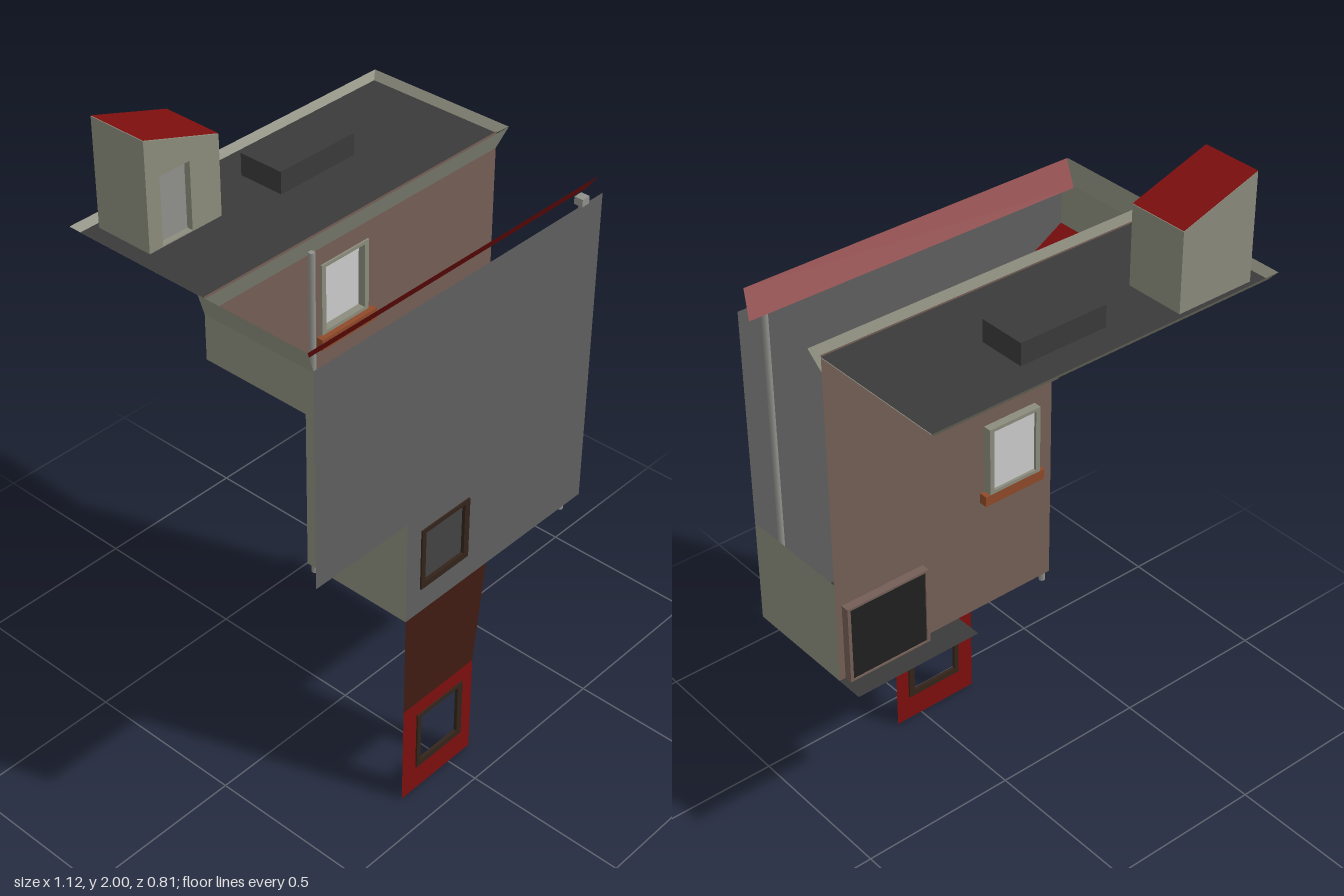
import * as THREE from 'three';

const COLORS = {
  olive: 0x8b8c7c, grey: 0x5f5f5f, dark: 0x3a3a3a, black: 0x202020, red: 0x7d0e0e,
  brown: 0x745f56, darkBrown: 0x3f1c12, frame: 0x33241a, sill: 0x8f4a2a, glass: 0xcccccc, door: 0x90908c,
};
const mats = {};
for (const key in COLORS) {
  mats[key] = new THREE.MeshStandardMaterial({ color: COLORS[key], side: THREE.DoubleSide });
}

const rect = (x0, y0, x1, y1) => [[x0, y0], [x1, y0], [x1, y1], [x0, y1]];
const vecs = (pts) => pts.map(([x, y]) => new THREE.Vector2(x, y));

function shapeOf(pts, holes = []) {
  const shape = new THREE.Shape(vecs(pts));
  holes.forEach((h) => shape.holes.push(new THREE.Path(vecs(h))));
  return shape;
}

export function createModel() {
  const model = new THREE.Group();
  model.name = 'openHouse';

  function add(name, geo, color, parent = model) {
    const mesh = new THREE.Mesh(geo, mats[color]);
    mesh.name = name;
    parent.add(mesh);
    return mesh;
  }
  // Box given by its min and max corners
  function box(name, color, [x0, y0, z0], [x1, y1, z1], parent) {
    const geo = new THREE.BoxGeometry(x1 - x0, y1 - y0, z1 - z0);
    geo.translate((x0 + x1) / 2, (y0 + y1) / 2, (z0 + z1) / 2);
    return add(name, geo, color, parent);
  }
  // Thin sheet facing +z
  function sheet(name, color, pts, z, holes, parent) {
    const geo = new THREE.ShapeGeometry(shapeOf(pts, holes));
    geo.translate(0, 0, z);
    return add(name, geo, color, parent);
  }
  // Solid outline from z0 to z1
  function slab(name, color, pts, z0, z1, holes, parent) {
    const geo = new THREE.ExtrudeGeometry(shapeOf(pts, holes), { depth: z1 - z0, bevelEnabled: false });
    geo.translate(0, 0, z0);
    return add(name, geo, color, parent);
  }
  // Flat four-cornered sheet, corners anticlockwise from its front
  function quad(name, color, ...corners) {
    const geo = new THREE.BufferGeometry();
    geo.setAttribute('position', new THREE.Float32BufferAttribute(corners.flat(), 3));
    geo.setIndex([0, 1, 2, 0, 2, 3]);
    geo.computeVertexNormals();
    return add(name, geo, color);
  }

  // Front panel and the hanging strip below it, each with a framed opening
  const opening = (y) => rect(-0.13, y + 0.02, 0.025, y + 0.185);
  const Z = 0.4;
  sheet('frontPanel', 'grey',
    [[-0.2, 0.66], [0.54, 0.66], [0.54, 1.645], [-0.54, 1.645], [-0.54, 0.99], [-0.2, 0.99]], Z, [opening(0.74)]);
  sheet('hangingUpperPanel', 'darkBrown', [[-0.2, 0.33], [0.09, 0.33], [0.13, 0.66], [-0.2, 0.66]], Z);
  sheet('hangingLowerPanel', 'red', rect(-0.2, 0, 0.09, 0.33), Z, [opening(0.085)]);
  for (const y of [0.74, 0.085]) {
    slab('openingFrame', 'frame', rect(-0.145, y, 0.045, y + 0.197), Z - 0.005, Z + 0.005, [opening(y)]);
  }

  // Main wall with window and door openings
  const WZ = 0.045;
  const windowBottoms = [1.05, 1.38];
  const windowHole = (y) => rect(-0.125, y + 0.01, 0.02, y + 0.2);
  sheet('mainWall', 'brown',
    [[-0.2, 0.66], [0.54, 0.66], [0.54, 1.69], [-0.54, 1.69], [-0.54, 1.51], [-0.2, 1.31]],
    WZ, windowBottoms.map(windowHole));
  for (const y of windowBottoms) {
    const win = new THREE.Group();
    win.name = 'wallWindow';
    model.add(win);
    slab('windowFrame', 'olive', rect(-0.14, y, 0.035, y + 0.21), 0.02, 0.05, [windowHole(y)], win);
    sheet('windowPane', 'glass', windowHole(y), 0.028, [], win);
    box('windowSill', 'sill', [-0.155, y - 0.032, 0.02], [0.05, y, 0.065], win);
  }

  // Rear door, doorstep and landing
  const doorHole = rect(0.26, 0.665, 0.51, 0.9);
  slab('doorFrame', 'brown', rect(0.25, 0.66, 0.52, 0.907), 0.02, 0.045, [doorHole]);
  sheet('rearDoor', 'black', doorHole, 0.024);
  sheet('rearDoorInside', 'black', doorHole, 0.05);
  box('doorstep', 'dark', [0.255, 0.645, 0.035], [0.415, 0.672, 0.065]);
  quad('landing', 'dark', [0.13, 0.66, 0.05], [0.54, 0.66, 0.05], [0.54, 0.66, -0.04], [0.13, 0.66, -0.04]);

  // Floor and side walls
  quad('floor', 'dark', [-0.2, 0.66, Z], [0.54, 0.66, Z], [0.54, 0.66, WZ], [-0.2, 0.66, WZ]);
  const sideWall = (name, color, xa, ya, xb, yb) =>
    quad(name, color, [xa, ya, WZ], [xa, ya, Z], [xb, yb, Z], [xb, yb, WZ]);
  sideWall('lowSideWall', 'olive', 0.54, 0.66, 0.54, 0.985);
  sideWall('sideWall', 'olive', -0.2, 0.66, -0.2, 1.31);
  sideWall('overhangSlope', 'red', -0.2, 1.31, -0.54, 1.51);
  sideWall('overhangWall', 'olive', -0.54, 1.51, -0.54, 1.645);
  sideWall('overhangCornice', 'olive', -0.54, 1.64, -0.56, 1.705);

  // Side window, its frame standing out from the wall
  const sideWindow = new THREE.Group();
  sideWindow.name = 'sideWindow';
  model.add(sideWindow);
  slab('sideWindowFrame', 'olive', rect(-0.065, 0, 0.065, 0.205), -0.035, 0, [rect(-0.053, 0.012, 0.053, 0.193)], sideWindow);
  sheet('sideWindowPane', 'glass', rect(-0.055, 0.01, 0.055, 0.195), -0.027, [], sideWindow);
  sheet('sideWindowInside', 'glass', rect(-0.065, 0, 0.065, 0.205), 0.003, [], sideWindow);
  sideWindow.rotation.y = Math.PI / 2;
  sideWindow.position.set(-0.2, 1.05, 0.225);

  // Flared front cornice with a skewed end
  quad('frontCornice', 'red', [-0.54, 1.64, 0.35], [0.54, 1.64, 0.35], [0.517, 1.705, Z], [-0.558, 1.705, Z]);

  // Downpipes
  for (const [x, z, bottom] of [[0.467, 0.39, 0.647], [-0.185, 0.058, 0.63]]) {
    const pipe = add('downpipe', new THREE.CylinderGeometry(0.009, 0.009, 1.655 - bottom, 8), 'door');
    pipe.position.set(x, (1.655 + bottom) / 2, z);
  }
  box('pipeHead', 'door', [0.453, 1.64, 0.375], [0.481, 1.662, 0.402]);

  // Roof deck set back behind the wall, with a flared rim
  const [xi, xo, yi, yo, zb, zr] = [0.54, 0.56, 1.685, 1.705, -0.39, -0.405];
  quad('roofDeck', 'dark', [-xi, yi, WZ], [xi, yi, WZ], [xi, yi, zb], [-xi, yi, zb]);
  quad('rearRim', 'olive', [-xi, yi, zb], [xi, yi, zb], [xo, yo, zr], [-xo, yo, zr]);
  for (const s of [-1, 1]) {
    quad('sideRim', 'olive', [s * xi, yi, zb], [s * xi, yi, WZ], [s * xo, yo, 0.07], [s * xo, yo, zr]);
  }
  quad('frontRim', 'olive', [-xi, 1.64, WZ], [xi, 1.64, WZ], [xo, yo, 0.07], [-xo, yo, 0.07]);
  box('roofUnit', 'dark', [-0.073, 1.675, -0.295], [0.2, 1.75, -0.153]);

  // Roof hut with a recessed door and a sloping red top
  const hut = new THREE.Group();
  hut.name = 'roofHut';
  model.add(hut);
  const profile = [[-0.495, 1.687], [-0.25, 1.687], [-0.25, 1.918], [-0.495, 1.998]];
  const hutDoor = rect(-0.45, 1.69, -0.35, 1.885);
  slab('hutBody', 'olive', profile, -0.37, -0.21, [], hut);
  slab('hutFront', 'olive', profile, -0.21, -0.188, [hutDoor], hut);
  sheet('hutDoor', 'door', hutDoor, -0.207, [], hut);
  hut.add(quad('hutRoof', 'red',
    [-0.495, 2, -0.188], [-0.25, 1.92, -0.188], [-0.25, 1.92, -0.37], [-0.495, 2, -0.37]));

  return model;
}
